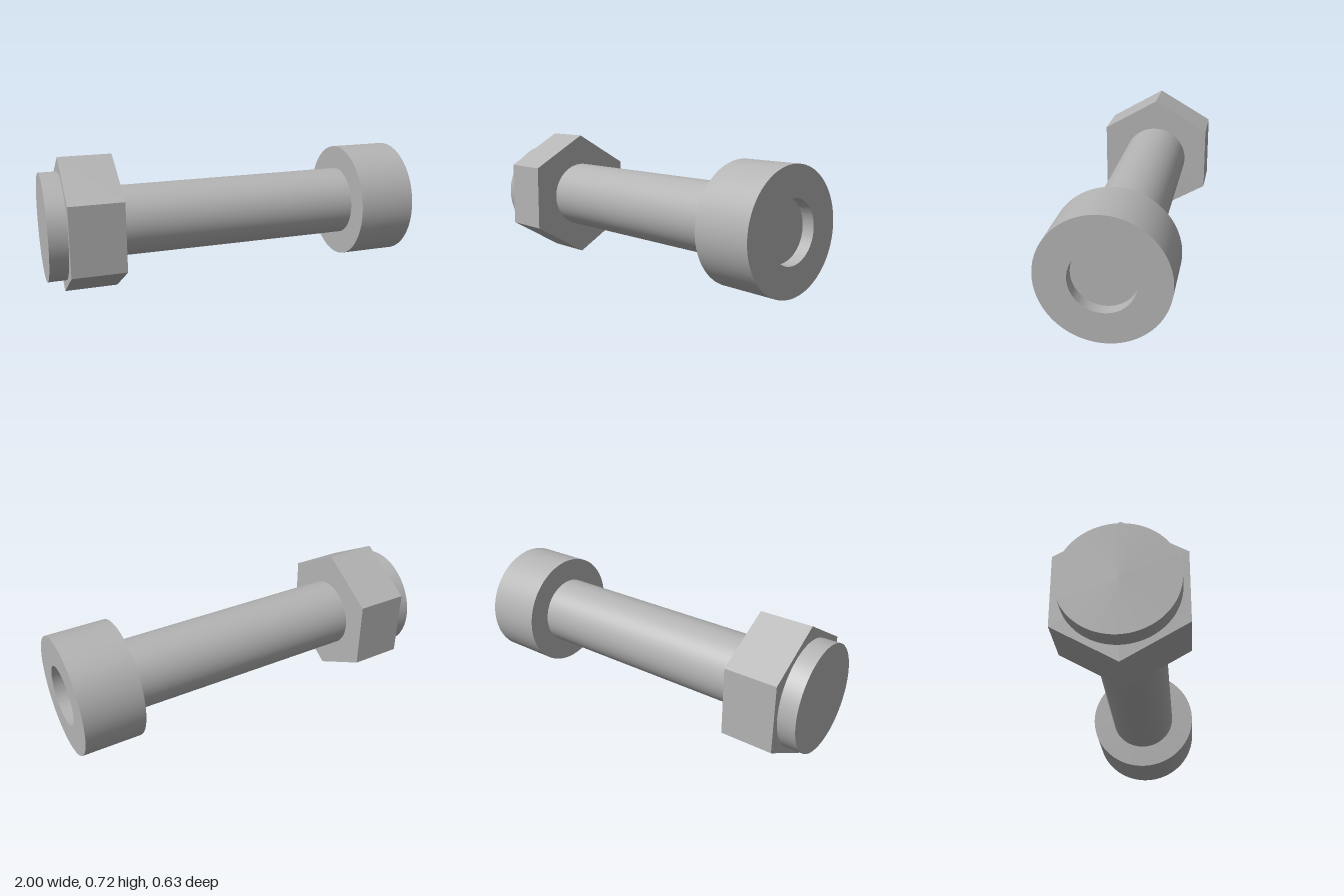
import * as THREE from 'three';
import { toCreasedNormals } from 'three/addons/utils/BufferGeometryUtils.js';

export function createModel() {
  const model = new THREE.Group();
  model.name = 'boltWithNut';

  const steel = new THREE.MeshStandardMaterial({ color: 0xb4b4b4 });
  steel.name = 'steelGrey';

  // All parts are turned around the bolt axis, which lies along x at this height
  const axisHeight = 0.362;
  const add = (name, geometry) => {
    geometry.rotateZ(-Math.PI / 2); // local y becomes x
    geometry.translate(0, axisHeight, 0);
    const mesh = new THREE.Mesh(toCreasedNormals(geometry, Math.PI / 6), steel);
    mesh.name = name;
    model.add(mesh);
  };

  // Solid cylinder or prism between two positions on the axis
  const bar = (radius, from, to, sides, start = 0) =>
    new THREE.CylinderGeometry(radius, radius, to - from, sides, 1, false, start)
      .translate(0, (from + to) / 2, 0);

  // Plain round shank
  add('shank', bar(0.187, -0.64, 0.7, 96));

  // Hexagonal nut, corners at top and bottom
  add('hexNut', bar(0.362, -0.905, -0.627, 6, Math.PI / 6));

  // Round collar closing the nut end
  add('endCollar', bar(0.282, -1, -0.9, 96));

  // Round head with a shallow recess in its end face
  const headProfile = [
    [0, 0.685], [0.314, 0.685], [0.314, 1],
    [0.158, 1], [0.158, 0.937], [0, 0.937],
  ].map(([r, x]) => new THREE.Vector2(r, x));
  add('head', new THREE.LatheGeometry(headProfile, 96));

  return model;
}
